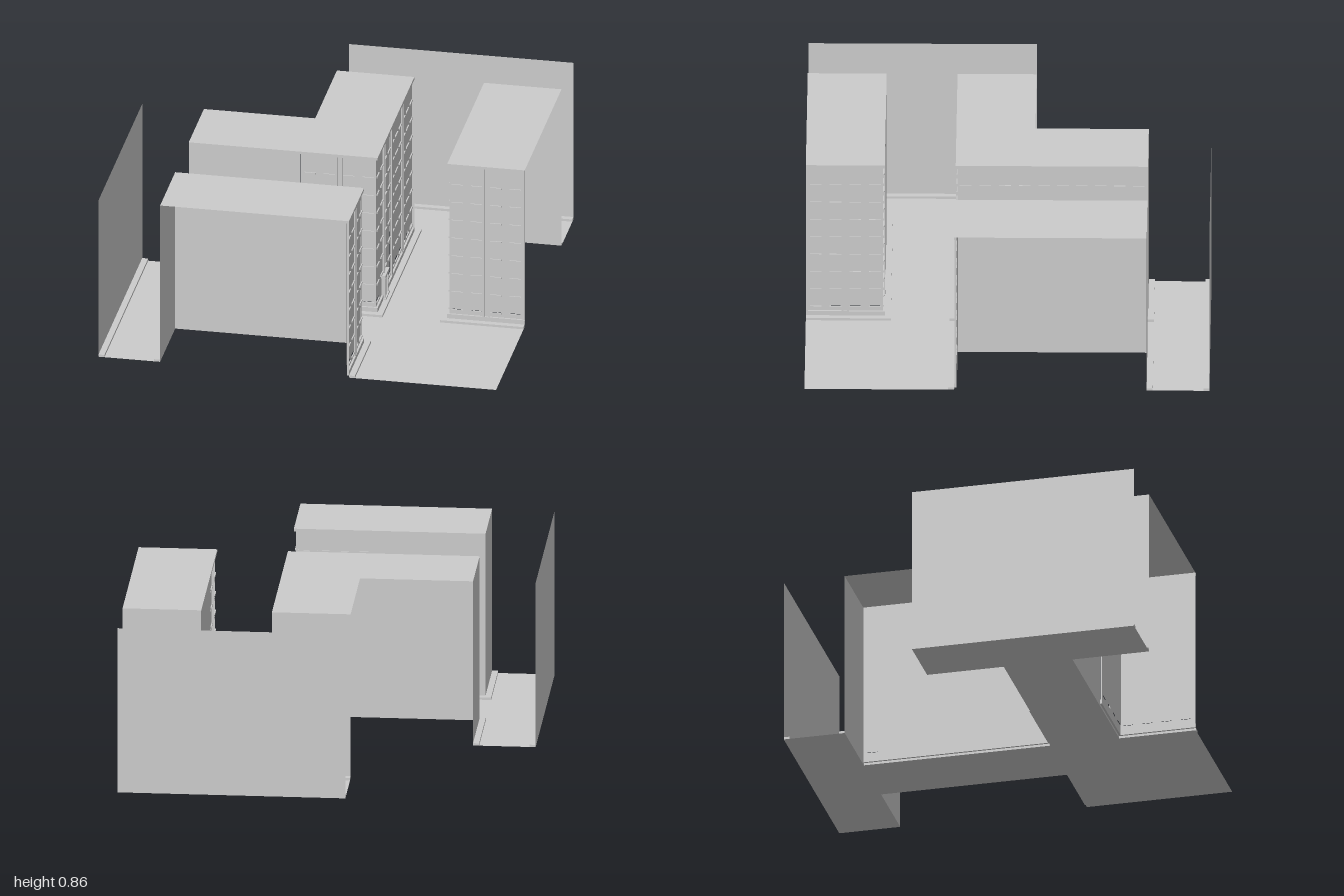
import * as THREE from 'three';

const H = 0.855, CURB = 0.012, RECESS = 0.01, BASE = 0.035;
const grey = new THREE.MeshStandardMaterial({ color: 0xcccccc, side: THREE.DoubleSide, flatShading: true });

function add(parent, geometry, name, x = 0, y = 0, z = 0) {
  const mesh = new THREE.Mesh(geometry, grey);
  mesh.name = name;
  mesh.position.set(x, y, z);
  parent.add(mesh);
  return mesh;
}

// box given by its minimum and maximum corners
function block(parent, name, x0, y0, z0, x1, y1, z1) {
  return add(parent, new THREE.BoxGeometry(x1 - x0, y1 - y0, z1 - z0), name,
    (x0 + x1) / 2, (y0 + y1) / 2, (z0 + z1) / 2);
}

function rectPath(PathType, x0, y0, x1, y1) {
  return new PathType([[x0, y0], [x1, y0], [x1, y1], [x0, y1]].map(([x, y]) => new THREE.Vector2(x, y)));
}

// flat horizontal outline of [x, z] points at height y
function slab(parent, name, points, y) {
  const shape = new THREE.Shape(points.map(([x, z]) => new THREE.Vector2(x, -z)));
  add(parent, new THREE.ShapeGeometry(shape).rotateX(-Math.PI / 2), name, 0, y, 0);
}

// local frame of a wall: x runs right as seen from outside, z points outward
function wallFrame(parent, name, x, z, angle) {
  const g = new THREE.Group();
  g.name = name;
  g.position.set(x, 0, z);
  g.rotation.y = angle;
  parent.add(g);
  return g;
}

function plainWall(parent, x, z, angle, length) {
  const g = wallFrame(parent, 'plainWall', x, z, angle);
  add(g, new THREE.PlaneGeometry(length, H - CURB), 'wallPanel', length / 2, (H + CURB) / 2, 0);
}

// recessed wall with window openings, glass, sills, pilasters, base and cornice
function windowWall(parent, x, z, angle, length, corner, entrance = false) {
  const g = wallFrame(parent, 'windowWall', x, z, angle);
  const left = corner === 'left' ? RECESS : 0;
  const right = length - (corner === 'right' ? RECESS : 0);
  const wall = rectPath(THREE.Shape, left, CURB, right, H);
  const columns = Math.round(length / 0.0975), floors = 8;
  const pitchX = length / columns, pitchY = (H - 0.075) / floors;
  for (let i = 0; i < columns; i++) {
    for (let j = 0; j < floors; j++) {
      const cx = (i + 0.5) * pitchX, y = 0.06 + j * pitchY;
      if (entrance && j === 0 && Math.abs(cx - length / 2) < 0.06) continue;
      wall.holes.push(rectPath(THREE.Path, cx - 0.025, y, cx + 0.025, y + 0.058));
      block(g, 'windowSill', cx - 0.029, y - 0.008, -RECESS, cx + 0.029, y, -0.004);
    }
  }
  add(g, new THREE.ShapeGeometry(wall), 'facade', 0, 0, -RECESS);
  add(g, new THREE.PlaneGeometry(right - left - 0.01, H - 0.08), 'windowGlass',
    (left + right) / 2, H / 2 + 0.02, -RECESS - 0.004);
  block(g, 'baseCourse', 0, CURB, -RECESS, length, BASE, 0);
  block(g, 'cornice', 0, H - 0.014, -RECESS, length, H, 0);
  // pilasters at the inner ends and beside the middle of the wall
  const posts = [length / 2 - 0.014, length / 2 + 0.014];
  if (corner !== 'left') posts.push(0.006);
  if (corner !== 'right') posts.push(length - 0.006);
  for (const p of posts) block(g, 'pilaster', p - 0.005, BASE, -RECESS, p + 0.005, H - 0.014, -0.001);
  // doorway with posts, lintel and step
  if (entrance) {
    const c = length / 2;
    for (const s of [-1, 0, 1]) block(g, 'entrancePost', c + s * 0.04 - 0.006, CURB, -RECESS, c + s * 0.04 + 0.006, 0.13, 0.008);
    block(g, 'entranceLintel', c - 0.052, 0.13, -RECESS, c + 0.052, 0.145, 0.012);
    block(g, 'entranceStep', c - 0.052, CURB, -RECESS, c + 0.052, CURB + 0.008, 0.014);
  }
}

export function createModel() {
  const model = new THREE.Group();
  model.name = 'cityBlocks';
  const part = (name) => {
    const g = new THREE.Group();
    g.name = name;
    model.add(g);
    return g;
  };
  const Q = Math.PI / 2;

  // streets
  const ground = part('streets');
  for (const [x0, z0, x1, z1] of [
    [-0.97, -0.13, -0.72, 1], [-0.72, 0.29, 1, 0.58], [0.29, -0.72, 0.58, 0.29],
    [0.29, 0.58, 1, 1], [-0.13, -0.97, 1, -0.72],
  ]) slab(ground, 'road', [[x0, z0], [x0, z1], [x1, z1], [x1, z0]], 0);

  // raised pavements around each building and along the outer walls
  const pavement = part('pavements');
  for (const [x0, z0, x1, z1] of [
    [-0.72, 0.26, 0.29, 0.29], [0.26, -0.69, 0.29, 0.26], [-0.72, -0.13, -0.69, 0.26], [-0.13, -0.72, 0.29, -0.69],
    [0.58, -0.69, 0.61, 0.26], [0.58, 0.26, 1, 0.29], [0.58, -0.72, 1, -0.69],
    [-0.69, 0.58, 0.26, 0.61], [0.26, 0.58, 0.29, 1], [-0.72, 0.58, -0.69, 1],
    [-1, -0.13, -0.97, 1], [-0.13, -1, 1, -0.97],
  ]) block(pavement, 'pavement', x0, 0, z0, x1, CURB, z1);

  // corner building, L-shaped and open towards the missing quarter
  const cornerBuilding = part('cornerBuilding');
  plainWall(cornerBuilding, -0.69, 0.26, 0, 0.56);
  windowWall(cornerBuilding, -0.13, 0.26, 0, 0.39, 'right');
  windowWall(cornerBuilding, 0.26, 0.26, Q, 0.39, 'left', true);
  windowWall(cornerBuilding, 0.26, -0.13, Q, 0.56, 'none');
  plainWall(cornerBuilding, -0.69, -0.13, -Q, 0.39);
  plainWall(cornerBuilding, 0.26, -0.69, 2 * Q, 0.39);
  slab(cornerBuilding, 'roof', [[-0.69, -0.13], [-0.69, 0.26], [0.26, 0.26], [0.26, -0.69], [-0.13, -0.69], [-0.13, -0.13]], H);

  // left building, open along x = 1
  const leftBuilding = part('leftBuilding');
  plainWall(leftBuilding, 0.61, -0.69, -Q, 0.56);
  windowWall(leftBuilding, 0.61, -0.13, -Q, 0.39, 'right');
  windowWall(leftBuilding, 0.61, 0.26, 0, 0.39, 'left');
  plainWall(leftBuilding, 1, -0.69, 2 * Q, 0.39);
  slab(leftBuilding, 'roof', [[0.61, -0.69], [0.61, 0.26], [1, 0.26], [1, -0.69]], H);

  // front building, open along z = 1
  const frontBuilding = part('frontBuilding');
  windowWall(frontBuilding, 0.26, 0.61, 2 * Q, 0.39, 'left');
  plainWall(frontBuilding, -0.13, 0.61, 2 * Q, 0.56);
  windowWall(frontBuilding, 0.26, 1, Q, 0.39, 'right');
  plainWall(frontBuilding, -0.69, 0.61, -Q, 0.39);
  slab(frontBuilding, 'roof', [[-0.69, 0.61], [-0.69, 1], [0.26, 1], [0.26, 0.61]], H);

  // single walls closing the two outer streets
  const outer = part('outerWalls');
  plainWall(outer, -1, 1, Q, 1.13);
  plainWall(outer, -0.13, -1, 0, 1.13);

  return model;
}
